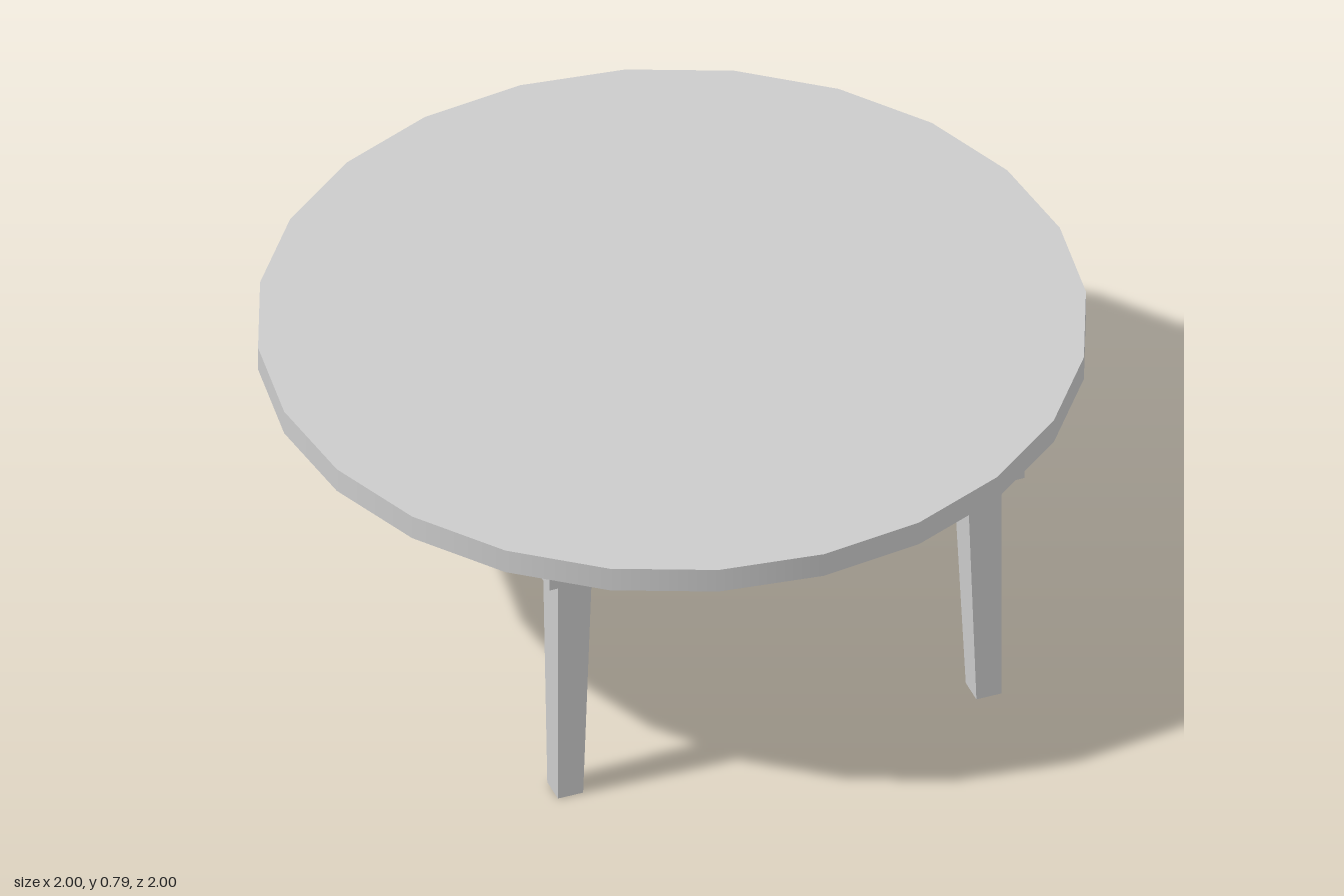
import * as THREE from 'three';

const material = new THREE.MeshStandardMaterial({ color: 0xcccccc });

function addMesh(parent, name, geometry, x, y, z) {
  const mesh = new THREE.Mesh(geometry, material);
  mesh.name = name;
  mesh.position.set(x, y, z);
  parent.add(mesh);
  return mesh;
}

// Square leg with vertical outer faces; only the two inner faces taper.
// sx and sz point outward, and the origin is the outer corner of the foot.
function legGeometry(sx, sz, height) {
  const foot = { x: 0.065, z: 0.07 };
  const head = { x: 0.09, z: 0.102 };
  const geometry = new THREE.BoxGeometry(1, height, 1).toNonIndexed();
  const p = geometry.attributes.position;
  for (let i = 0; i < p.count; i++) {
    const size = p.getY(i) > 0 ? head : foot;
    p.setXYZ(
      i,
      (p.getX(i) - sx / 2) * size.x,
      p.getY(i) + height / 2,
      (p.getZ(i) - sz / 2) * size.z
    );
  }
  geometry.computeVertexNormals();
  return geometry;
}

export function createModel() {
  const table = new THREE.Group();
  table.name = 'roundTable';

  const topBottom = 0.725, topHeight = 0.065;
  const apronBottom = 0.672, apronHeight = topBottom - apronBottom;
  const halfX = 0.612, halfZ = 0.755, railX = 0.04, railZ = 0.048;

  // Round top with 24 sides
  addMesh(table, 'tableTop', new THREE.CylinderGeometry(1, 1, topHeight, 24),
    0, topBottom + topHeight / 2, 0);

  // Rectangular apron frame under the top
  const apron = new THREE.Group();
  apron.name = 'apron';
  apron.position.set(0.003, apronBottom + apronHeight / 2, -0.006);
  table.add(apron);
  for (const s of [1, -1]) {
    addMesh(apron, s > 0 ? 'frontRail' : 'backRail',
      new THREE.BoxGeometry(halfX * 2, apronHeight, railZ), 0, 0, s * (halfZ - railZ / 2));
    addMesh(apron, s > 0 ? 'leftRail' : 'rightRail',
      new THREE.BoxGeometry(railX, apronHeight, (halfZ - railZ) * 2), s * (halfX - railX / 2), 0, 0);
  }

  // Four tapered legs in the inner corners of the apron
  for (const sx of [1, -1]) {
    for (const sz of [1, -1]) {
      const name = (sz > 0 ? 'front' : 'back') + (sx > 0 ? 'Left' : 'Right') + 'Leg';
      addMesh(table, name, legGeometry(sx, sz, topBottom),
        0.003 + sx * (halfX - railX), 0, -0.006 + sz * (halfZ - railZ));
    }
  }

  return table;
}
